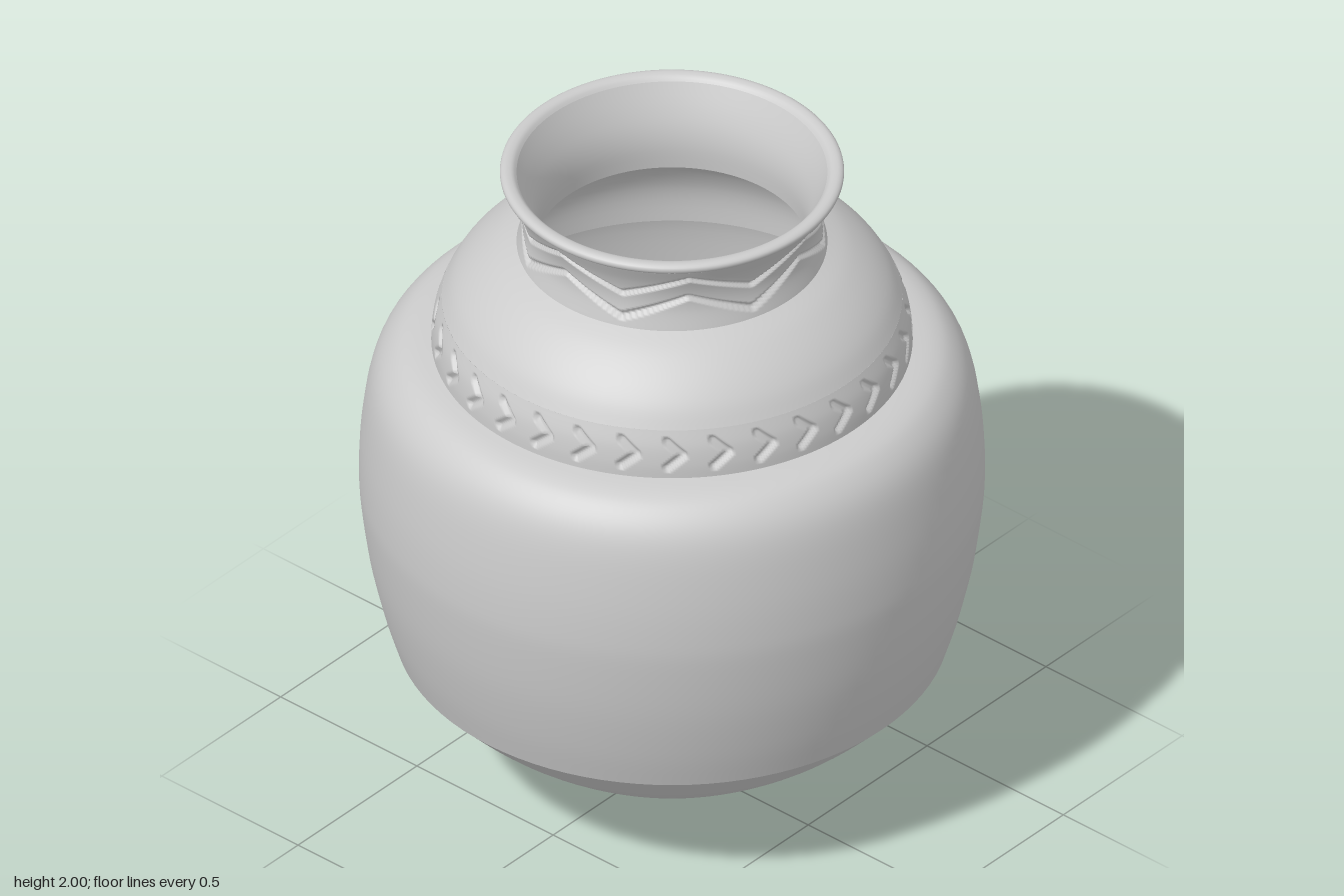
import * as THREE from 'three';
import { mergeVertices } from 'three/addons/utils/BufferGeometryUtils.js';

const material = new THREE.MeshStandardMaterial({ color: 0xcccccc });

// Smooth profile through a few [radius, height] points
function profile(points, rows) {
  const curve = new THREE.SplineCurve(points.map(([r, y]) => new THREE.Vector2(r, y)));
  return curve.getPoints(rows).map((p) => new THREE.Vector2(Math.max(p.x, 0), p.y));
}

// Turned section; an optional carve(angle, y, r) gives the groove depth at each vertex
function turned(name, points, rows, segments = 96, carve = null) {
  let geometry = new THREE.LatheGeometry(profile(points, rows), segments);
  if (carve) {
    const pos = geometry.attributes.position;
    for (let i = 0; i < pos.count; i++) {
      const x = pos.getX(i), y = pos.getY(i), z = pos.getZ(i);
      const r = Math.hypot(x, z);
      const k = 1 - carve(Math.atan2(x, z), y, r) / r;
      pos.setXYZ(i, x * k, y, z * k);
    }
    geometry.deleteAttribute('uv');
    geometry.deleteAttribute('normal');
    geometry = mergeVertices(geometry, 1e-5);
    geometry.computeVertexNormals();
  }
  const mesh = new THREE.Mesh(geometry, material);
  mesh.name = name;
  return mesh;
}

// Groove section: full depth near the centre line, steep walls at the edge
const groove = (distance, halfWidth, depth) =>
  depth * (1 - THREE.MathUtils.smoothstep(distance, halfWidth * 0.6, halfWidth * 1.3));

// Offset from the nearest repeat of a pattern, in radians
function repeatOffset(angle, count, start) {
  const step = (2 * Math.PI) / count;
  const a = (angle - start) / step;
  return (a - Math.round(a)) * step;
}

// Two parallel zigzag lines around the neck
function zigzags(angle, y, r) {
  const count = 7;
  const t = Math.abs(repeatOffset(angle, count, -0.07)) / (Math.PI / count);
  const drop = 0.075;
  const slope = drop / ((Math.PI / count) * r);
  const toLine = (peak) => Math.abs(y - (peak - drop * t)) / Math.hypot(1, slope);
  return groove(Math.min(toLine(1.93), toLine(1.855)), 0.008, 0.012);
}

// Row of sideways chevrons around the shoulder
function chevrons(angle, y, r) {
  const x = repeatOffset(angle, 32, -0.05) * r;
  const h = Math.abs(y - 1.49);
  // distance to the arm running from the tip (0.02, 0) back to (-0.025, 0.038)
  const ax = -0.045, ay = 0.038;
  const t = THREE.MathUtils.clamp(((x - 0.02) * ax + h * ay) / (ax * ax + ay * ay), 0, 1);
  return groove(Math.hypot(x - 0.02 - ax * t, h - ay * t), 0.01, 0.013);
}

export function createModel() {
  const pot = new THREE.Group();
  pot.name = 'pot';

  // Outer wall, split where the profile has a sharp edge
  pot.add(
    turned('foot', [[0, 0], [0.07, 0.002], [0.13, 0.012]], 6),
    turned('base', [[0.13, 0.012], [0.22, 0.05], [0.35, 0.12], [0.49, 0.205],
      [0.64, 0.32], [0.77, 0.45]], 20),
    turned('belly', [[0.77, 0.45], [0.805, 0.57], [0.84, 0.73], [0.862, 0.9], [0.866, 1.0],
      [0.86, 1.12], [0.842, 1.25], [0.815, 1.33], [0.77, 1.385], [0.72, 1.41],
      [0.655, 1.42]], 44),
    turned('chevronBand', [[0.666, 1.415], [0.664, 1.46], [0.655, 1.51], [0.637, 1.56]],
      26, 640, chevrons),
    turned('shoulder', [[0.637, 1.56], [0.605, 1.615], [0.555, 1.67], [0.49, 1.72],
      [0.425, 1.752]], 16),
    turned('neck', [[0.43, 1.75], [0.417, 1.81], [0.418, 1.86], [0.432, 1.91], [0.458, 1.965]],
      42, 480, zigzags),
    turned('rim', [[0.458, 1.965], [0.474, 1.978], [0.475, 1.992], [0.462, 2.0],
      [0.442, 1.997], [0.43, 1.985]], 16)
  );

  // Inner wall, running down from the rim to the floor
  pot.add(
    turned('innerNeck', [[0.43, 1.985], [0.4, 1.92], [0.38, 1.86], [0.373, 1.8], [0.378, 1.73]], 14),
    turned('innerShoulder', [[0.378, 1.73], [0.46, 1.68], [0.54, 1.61], [0.59, 1.53],
      [0.61, 1.46], [0.615, 1.38]], 16),
    turned('innerBelly', [[0.615, 1.38], [0.72, 1.355], [0.785, 1.27], [0.812, 1.1], [0.815, 0.98],
      [0.79, 0.73], [0.725, 0.48]], 28),
    turned('innerFloor', [[0.725, 0.48], [0.6, 0.36], [0.45, 0.25], [0.28, 0.14],
      [0.13, 0.065], [0, 0.05]], 18)
  );
  return pot;
}
